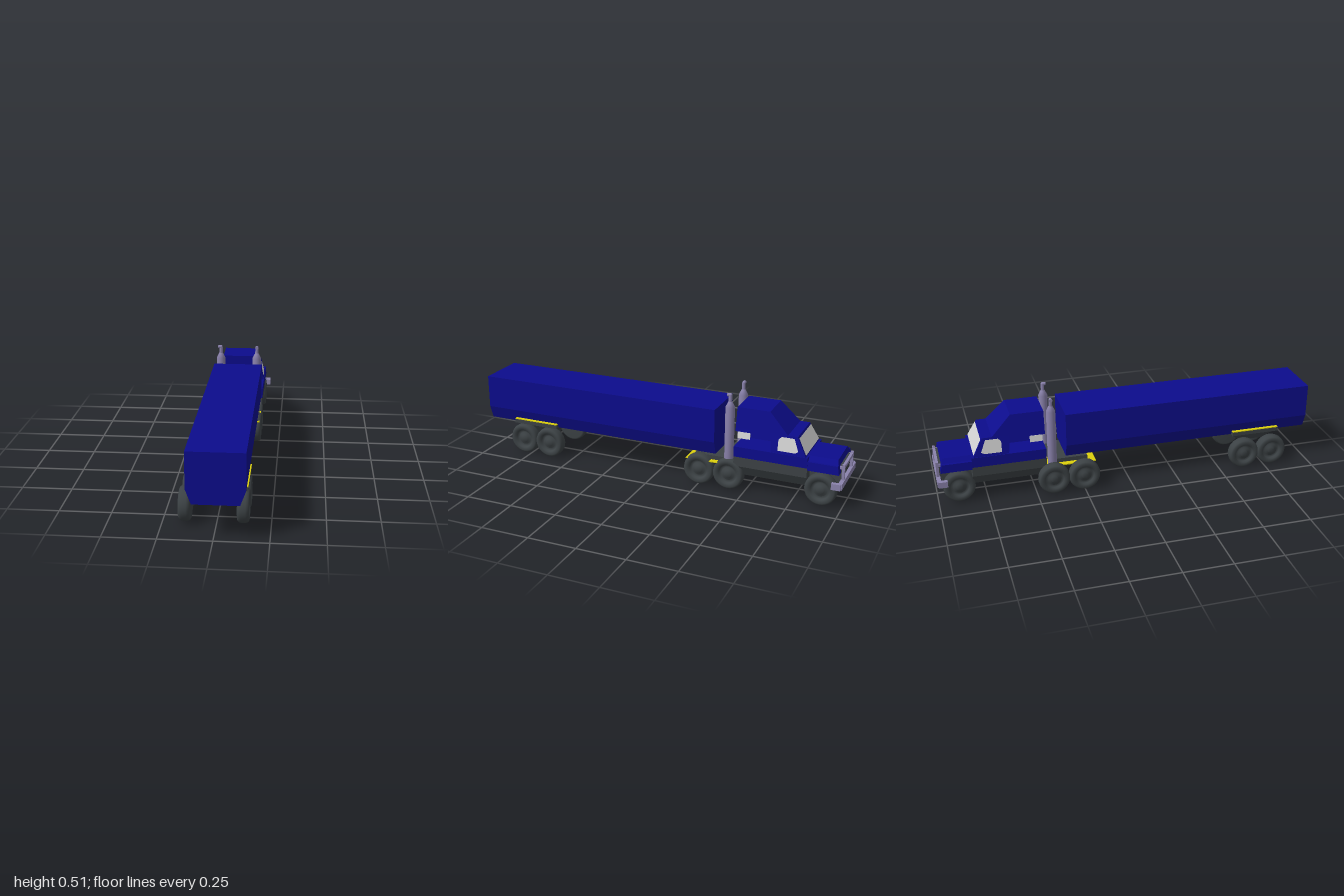
import * as THREE from 'three';

const mat = (name, color, extra = {}) => {
  const m = new THREE.MeshStandardMaterial({ color, ...extra });
  m.name = name;
  return m;
};

export function createModel() {
  const blue = mat('body blue', 0x0c0c8c);
  const grey = mat('chassis grey', 0x3c4245);
  const steel = mat('pale steel', 0x8a82ac);
  const yellow = mat('deck yellow', 0xdcd00c);
  const glass = mat('glass', 0xd2d2d2, { side: THREE.DoubleSide });

  const model = new THREE.Group();
  model.name = 'articulatedTruck';
  const truck = new THREE.Group();
  truck.name = 'truck';
  truck.position.x = 0.0125; // body centre line sits slightly off the wheel span
  model.add(truck);

  const add = (name, geometry, material, x = 0, y = 0, z = 0) => {
    const mesh = new THREE.Mesh(geometry, material);
    mesh.name = name;
    mesh.position.set(x, y, z);
    truck.add(mesh);
    return mesh;
  };

  // Block with separate half width and z range at its bottom and top
  const block = (name, material, y0, y1, bottom, top = bottom) => {
    const g = new THREE.BoxGeometry(2, 1, 1);
    const p = g.attributes.position;
    for (let i = 0; i < p.count; i++) {
      const up = p.getY(i) > 0;
      const [half, za, zb] = up ? top : bottom;
      p.setXYZ(i, p.getX(i) * half, up ? y1 : y0, p.getZ(i) > 0 ? zb : za);
    }
    g.computeVertexNormals();
    return add(name, g, material);
  };

  // Symmetric cross-section, given as right-hand [x, y] points, swept along z
  const sweep = (name, material, pts, z0, z1) => {
    const mirrored = pts.map(([x, y]) => [-x, y]).reverse();
    const shape = new THREE.Shape([...pts, ...mirrored].map(([x, y]) => new THREE.Vector2(x, y)));
    const g = new THREE.ExtrudeGeometry(shape, { depth: z1 - z0, bevelEnabled: false });
    return add(name, g, material, 0, 0, z0);
  };

  // Thin flat panel from a fan of corners
  const panel = (name, material, pts) => {
    const g = new THREE.BufferGeometry().setFromPoints(pts.map((p) => new THREE.Vector3(...p)));
    const index = [];
    for (let i = 1; i < pts.length - 1; i++) index.push(0, i, i + 1);
    g.setIndex(index);
    g.computeVertexNormals();
    return add(name, g, material);
  };

  // Trailer with tapered lower sides
  sweep('trailerBody', blue, [[0.107, 0.174], [0.133, 0.245], [0.133, 0.42]], -0.335, 1);

  // Trailer bogie
  block('bogieFlange', grey, 0.172, 0.193, [0.133, 0.58, 0.84]);
  block('bogieBlock', grey, 0.113, 0.172, [0.075, 0.64, 0.78], [0.107, 0.58, 0.84]);
  block('bogieTopStrip', yellow, 0.193, 0.197, [0.133, 0.58, 0.84]);

  // Tractor hull, engine bay and rear deck
  sweep('hull', grey, [[0.105, 0.085], [0.133, 0.137], [0.133, 0.188]], -0.82, -0.44);
  block('engineBay', grey, 0.09, 0.18, [0.075, -0.97, -0.82]);
  block('rearFrame', grey, 0.1, 0.133, [0.08, -0.44, -0.2], [0.13, -0.44, -0.18]);
  block('rearDeckTop', yellow, 0.133, 0.138, [0.131, -0.44, -0.18]);
  block('couplingPlate', grey, 0.138, 0.16, [0.103, -0.42, -0.22]);

  // Hood, fenders and grille
  block('fenders', blue, 0.178, 0.222, [0.133, -0.978, -0.81], [0.13, -0.97, -0.81]);
  block('hood', blue, 0.222, 0.243, [0.115, -0.97, -0.81], [0.095, -0.962, -0.81]);
  block('grille', grey, 0.13, 0.215, [0.085, -0.982, -0.96]);

  // Cab, with an opening below the sleeper
  block('cabLower', blue, 0.188, 0.242, [0.133, -0.82, -0.44]);
  block('cabUpper', blue, 0.242, 0.335, [0.13, -0.81, -0.63], [0.11, -0.76, -0.62]);
  block('sleeperBase', blue, 0.295, 0.335, [0.118, -0.7, -0.52], [0.11, -0.71, -0.52]);
  block('sleeperRear', blue, 0.318, 0.335, [0.114, -0.52, -0.44], [0.11, -0.52, -0.44]);
  block('sleeper', blue, 0.335, 0.438, [0.11, -0.71, -0.44], [0.09, -0.61, -0.44]);

  // Windshield
  panel('windshield', glass, [
    [0.123, 0.25, -0.809], [-0.123, 0.25, -0.809], [-0.107, 0.328, -0.767], [0.107, 0.328, -0.767],
  ]);

  // Side windows
  const sideWindow = [[-0.665, 0.255], [-0.665, 0.31], [-0.68, 0.325], [-0.745, 0.325], [-0.77, 0.265], [-0.755, 0.255]];
  for (const s of [1, -1]) {
    const tilted = sideWindow.map(([z, y]) => [s * (0.132 - ((y - 0.242) / 0.093) * 0.02), y, z]);
    panel('sideWindow', glass, tilted);
    const rear = add('sleeperWindow', new THREE.BoxGeometry(0.006, 0.033, 0.065), glass, s * 0.117, 0.302, -0.487);
    rear.rotation.z = s * 0.2;
  }

  // Exhaust stacks, each with a small bent tip
  const stackProfile = [[0, 0.13], [0.024, 0.13], [0.024, 0.437], [0.01, 0.466], [0.009, 0.466], [0.009, 0.5]];
  const tips = { '1': [0, 0, 0.016], '-1': [-0.016, 0, 0] };
  for (const s of [1, -1]) {
    const profile = stackProfile.map(([x, y]) => new THREE.Vector2(x, y));
    const stack = add('exhaustStack', new THREE.LatheGeometry(profile, 16), steel, s * 0.101, 0, -0.405);
    const [tx, , tz] = tips[s];
    const elbow = new THREE.Mesh(new THREE.SphereGeometry(0.009, 12, 8), steel);
    elbow.name = 'stackElbow';
    elbow.position.y = 0.5;
    const tip = new THREE.Mesh(new THREE.CylinderGeometry(0.009, 0.009, 0.016, 12), steel);
    tip.name = 'stackTip';
    tip.position.set(tx / 2, 0.5, tz / 2);
    tip.rotation.set(tz ? Math.PI / 2 : 0, 0, tx ? Math.PI / 2 : 0);
    stack.add(elbow, tip);
  }

  // Bumper with swept ends and guard bars
  add('bumper', new THREE.BoxGeometry(0.3, 0.032, 0.02), steel, 0, 0.126, -0.99);
  for (const s of [1, -1]) {
    add('bumperEnd', new THREE.BoxGeometry(0.022, 0.032, 0.045), steel, s * 0.149, 0.126, -0.971);
    add('guardPost', new THREE.BoxGeometry(0.014, 0.085, 0.014), steel, s * 0.09, 0.18, -0.99);
    add('guardSide', new THREE.BoxGeometry(0.014, 0.014, 0.04), steel, s * 0.09, 0.205, -0.975);
  }
  add('guardBar', new THREE.BoxGeometry(0.19, 0.016, 0.014), steel, 0, 0.21, -0.99);

  // Wheels: flat inner face, rounded tyre, recessed rim and hub outside
  const wheelProfile = [
    [0, -0.027], [0.07, -0.027], [0.079, -0.021], [0.082, -0.01], [0.082, 0.012], [0.078, 0.023], [0.07, 0.028],
    [0.052, 0.028], [0.049, 0.014], [0.036, 0.01], [0.034, 0.016], [0.02, 0.016], [0.018, 0.024], [0, 0.024],
  ].map(([x, y]) => new THREE.Vector2(x, y));
  const wheelGeometry = new THREE.LatheGeometry(wheelProfile, 28);
  const wheel = (x, z) => {
    const w = add('wheel', wheelGeometry, grey, x, 0.083, z);
    w.rotation.z = x > 0 ? -Math.PI / 2 : Math.PI / 2;
  };
  for (const z of [-0.41, -0.25, 0.633, 0.79]) {
    wheel(0.109, z);
    wheel(-0.158, z);
  }
  wheel(0.109, -0.89);
  wheel(-0.106, -0.89);

  return model;
}
